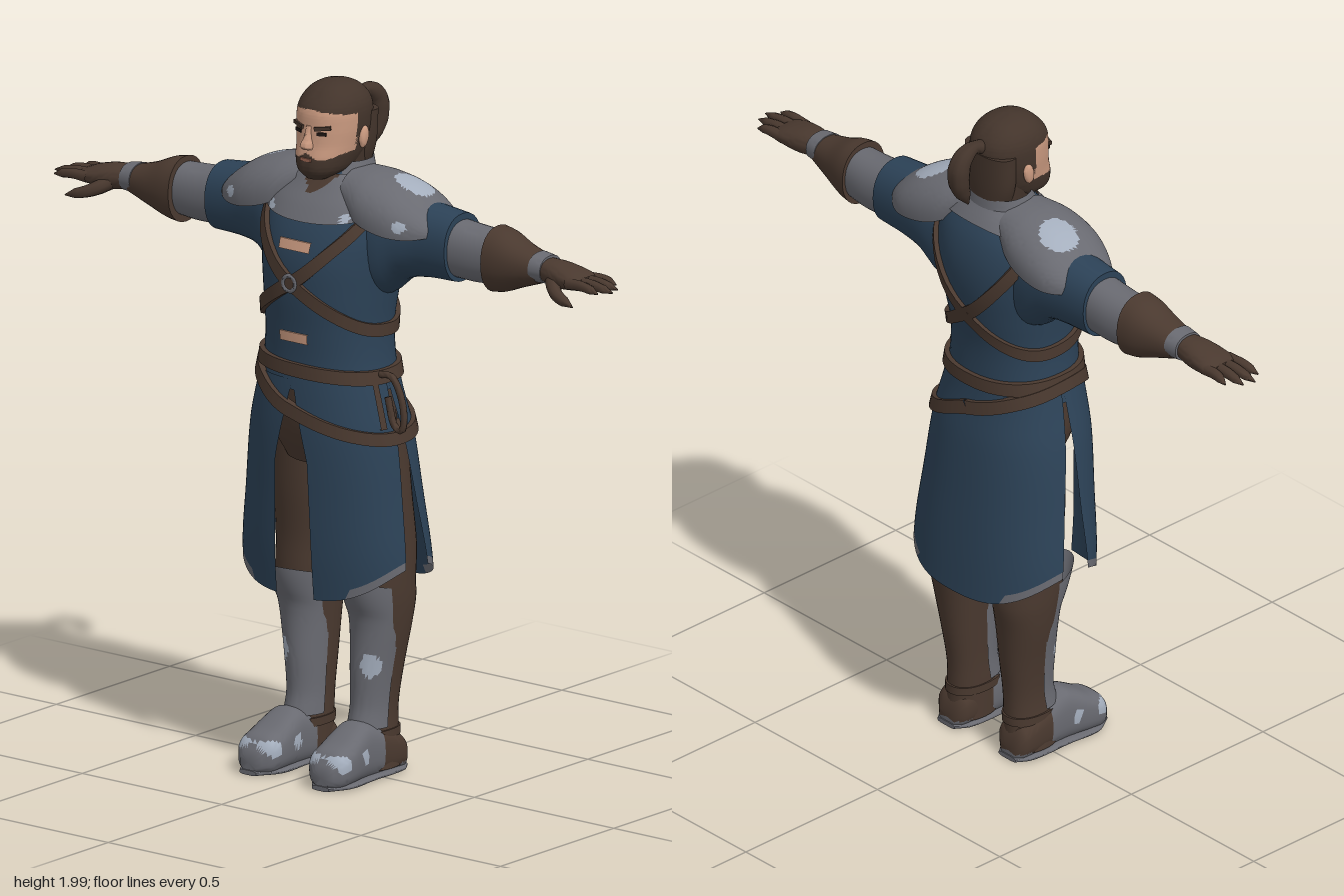
import * as THREE from 'three';
import { toCreasedNormals } from 'three/addons/utils/BufferGeometryUtils.js';

const mat = (name, color) => new THREE.MeshStandardMaterial({ name, color, side: THREE.DoubleSide });
const V = (x, y, z) => new THREE.Vector3(x, y, z);
const RAD = Math.PI / 180;

// Surface from f(u, v); faces outward where du x dv points outward
function grid(nu, nv, f, wrap = false) {
  const pos = [], idx = [], c = wrap ? nu : nu + 1;
  for (let j = 0; j <= nv; j++) for (let i = 0; i < c; i++) pos.push(...f(i / nu, j / nv));
  for (let j = 0; j < nv; j++) for (let i = 0; i < nu; i++) {
    const a = j * c + i, b = j * c + (i + 1) % c;
    idx.push(a, b, b + c, a, b + c, a + c);
  }
  const g = new THREE.BufferGeometry();
  g.setAttribute('position', new THREE.Float32BufferAttribute(pos, 3));
  g.setIndex(idx);
  return g;
}

// Smooth interpolation of table rows keyed by their first number
function at(rows, t) {
  let i = 0;
  while (i < rows.length - 2 && t > rows[i + 1][0]) i++;
  const p = rows[i], q = rows[i + 1], o = rows[i - 1] || p, r = rows[i + 2] || q;
  const h = q[0] - p[0], s = Math.min(1, Math.max(0, (t - p[0]) / h)), s2 = s * s, s3 = s2 * s;
  return p.map((_, k) => {
    const m0 = (q[k] - o[k]) / (q[0] - o[0]) * h, m1 = (r[k] - p[k]) / (r[0] - p[0]) * h;
    return (2 * s3 - 3 * s2 + 1) * p[k] + (s3 - 2 * s2 + s) * m0 + (3 * s2 - 2 * s3) * q[k] + (s3 - s2) * m1;
  });
}
const bend = (v, e) => Math.sign(v) * Math.abs(v) ** e;

// Rounded sections along an axis: rows are [t, aMin, aMax, bMin, bMax]
const AXES = { y: (a, t, b) => [a, t, b], x: (a, t, b) => [t, b, a], z: (a, t, b) => [b, a, t] };
function loft(axis, rows, { nu = 32, nv = rows.length * 4, e = 0.9, arc = null } = {}) {
  const t0 = rows[0][0], t1 = rows[rows.length - 1][0], extra = arc ? 0 : 1, n = nv + 2 * extra;
  return grid(nu, n, (u, v) => {
    const j = Math.round(v * n) - extra, k = j < 0 || j > nv ? 0.001 : 1;
    const t = t0 + (t1 - t0) * Math.min(1, Math.max(0, j / nv));
    const [, a0, a1, b0, b1] = at(rows, t);
    const th = arc ? (arc[0] + (arc[1] - arc[0]) * u) * RAD : u * 2 * Math.PI;
    return AXES[axis]((a0 + a1) / 2 + k * (a1 - a0) / 2 * bend(Math.sin(th), e), t,
      (b0 + b1) / 2 + k * (b1 - b0) / 2 * bend(Math.cos(th), e));
  }, !arc);
}

// Tube whose radius follows a list
function taper(points, radii, seg = 18, rad = 10) {
  const curve = new THREE.CatmullRomCurve3(points.map(p => V(...p)));
  const g = new THREE.TubeGeometry(curve, seg, 1, rad), p = g.attributes.position;
  for (let i = 0; i < p.count; i++) {
    const s = Math.floor(i / (rad + 1)) / seg, c = curve.getPointAt(s), f = s * (radii.length - 1);
    const k = Math.min(radii.length - 2, Math.floor(f)), r = radii[k] + (radii[k + 1] - radii[k]) * (f - k);
    const q = V(0, 0, 0).fromBufferAttribute(p, i).sub(c).multiplyScalar(r).add(c);
    p.setXYZ(i, q.x, q.y, q.z);
  }
  return g;
}

// Sort triangles into material groups by their centre
function paint(g, rule) {
  const bins = [], p = g.attributes.position, ix = g.index.array;
  for (let i = 0; i < ix.length; i += 3) {
    const t = [ix[i], ix[i + 1], ix[i + 2]];
    const m = f => t.reduce((s, k) => s + p[f](k), 0) / 3;
    (bins[rule(m('getX'), m('getY'), m('getZ'))] ??= []).push(...t);
  }
  const all = [];
  g.clearGroups();
  bins.forEach((b, k) => { g.addGroup(all.length, b.length, k); all.push(...b); });
  g.setIndex(all);
}

// Body and coat outline: [y, half width, front z, back z]
const BODY = [[0.52, 0.29, 0.175, -0.215], [0.65, 0.285, 0.185, -0.205], [0.8, 0.265, 0.19, -0.19],
  [1, 0.238, 0.195, -0.168], [1.12, 0.208, 0.188, -0.145], [1.2, 0.19, 0.18, -0.138], [1.3, 0.183, 0.183, -0.14],
  [1.4, 0.19, 0.19, -0.16], [1.5, 0.2, 0.188, -0.178], [1.58, 0.205, 0.165, -0.178], [1.65, 0.19, 0.125, -0.16],
  [1.7, 0.14, 0.085, -0.13], [1.74, 0.085, 0.055, -0.1]];
function skin(deg, y, off = 0) {
  const [, rx, f, b] = at(BODY, y), s = Math.sin(deg * RAD), c = Math.cos(deg * RAD);
  return [(rx + off) * bend(s, 0.9), y, (f + b) / 2 + ((f - b) / 2 + off) * bend(c, 0.9)];
}

// Strap lying on the body through [degrees, y] points
function strap(points, width = 0.036, out = 0.013, n = 70) {
  const curve = new THREE.CatmullRomCurve3(points.map(([d, y]) => V(d * RAD * 0.19, y, 0)));
  const sec = [[1, -0.006], [1, out], [-1, out], [-1, -0.006]];
  return grid(3, n, (u, v) => {
    const p = curve.getPoint(v), t = curve.getTangent(v), [s, o] = sec[Math.round(u * 3)];
    const w = s * width / 2;
    return skin((p.x - t.y * w) / 0.19 / RAD, p.y + t.x * w, o);
  });
}

export function createModel() {
  const root = new THREE.Group();
  root.name = 'armouredRanger';
  const blue = mat('blueCloth', 0x2c4257), brown = mat('brownLeather', 0x4a392f), metal = mat('greyMetal', 0x696a71);
  const pale = mat('paleMetal', 0xa4aebd), flesh = mat('skin', 0xc9997f), hair = mat('hair', 0x43342b);
  const dark = mat('darkEyes', 0x1d1613), lip = mat('lips', 0x9c6653);

  function add(name, g, m, { rule, mirror } = {}) {
    if (rule) paint(g, rule);
    const put = (geo, label) => {
      const mesh = new THREE.Mesh(toCreasedNormals(geo, 0.9), m);
      mesh.name = label;
      root.add(mesh);
    };
    if (mirror) {
      const r = g.clone().scale(-1, 1, 1), a = r.index.array;
      for (let i = 0; i < a.length; i += 3) [a[i], a[i + 1]] = [a[i + 1], a[i]];
      put(r, name + 'Right');
    }
    put(g, mirror ? name + 'Left' : name);
  }
  const both = { mirror: true };

  // Tunic
  add('tunic', grid(48, 36, (u, v) => skin(u * 360, 1.13 + 0.61 * v), true), blue);
  add('sleeve', loft('x', [[0.1, -0.12, 0.08, 1.36, 1.71], [0.19, -0.13, 0.085, 1.4, 1.7], [0.25, -0.13, 0.07, 1.45, 1.69],
    [0.32, -0.125, 0.055, 1.467, 1.68], [0.43, -0.118, 0.048, 1.472, 1.668]]), blue, both);
  add('hips', loft('y', [[0.9, -0.14, 0.14, -0.11, 0.11], [1, -0.19, 0.19, -0.13, 0.15], [1.16, -0.185, 0.185, -0.13, 0.17]]), brown);

  // Coat skirt, open at the front and at both sides
  const hem = d => 0.53 + 0.1 * Math.abs(Math.sin(d * RAD)) ** 3;
  const panel = (a, b, n) => grid(n, 24, (u, v) => {
    const w = 1 - v, d = a(w) + (b(w) - a(w)) * u, h = hem(d);
    return skin(d, h + (1.16 - h) * v, 0.003);
  });
  const trim = (x, y) => (Math.abs(x) > 0.17 && y < 0.548 + 0.1 * Math.min(1, Math.abs(x) / 0.285) ** 3 ? 1 : 0);
  add('coatFront', panel(w => Math.min(11, w * 30), w => 90 - 12 * w ** 1.5, 20), [blue, metal], { rule: trim, mirror: true });
  add('coatBack', panel(w => 92 + 10 * w, w => 268 - 10 * w, 40), [blue, metal], { rule: trim });

  // Mantle, collar and shoulder plates
  add('mantle', grid(72, 14, (u, v) => {
    const low = 1.65 - 0.04 * Math.cos(u * 2 * Math.PI);
    return skin(u * 360, low + (1.735 - low) * v, 0.009);
  }, true), [metal, brown, pale], {
    rule: (x, y, z) => (z > 0 && y > 1.675 + Math.abs(x) * 0.9 ? 1 : z > 0 && Math.hypot(Math.abs(x) - 0.13, y - 1.63) < 0.014 ? 2 : 0) });
  add('collar', loft('y', [[1.69, -0.115, 0.115, -0.12, 0.075], [1.73, -0.1, 0.1, -0.115, 0.06], [1.765, -0.09, 0.09, -0.112, 0.045]],
    { arc: [35, 325] }), metal);
  add('shoulderPlate', loft('x', [[0.08, -0.12, 0.08, 1.61, 1.75], [0.16, -0.148, 0.11, 1.535, 1.747], [0.25, -0.155, 0.11, 1.51, 1.725],
    [0.32, -0.14, 0.085, 1.53, 1.685], [0.37, -0.095, 0.045, 1.575, 1.64], [0.385, -0.04, 0, 1.6, 1.615]],
  { arc: [-98, 98], nu: 40, nv: 36 }), [metal, pale], {
    rule: (x, y, z) => (Math.hypot(x - 0.25, z + 0.045) < 0.055 || Math.hypot(x - 0.3, (y - 1.63) * 1.5, z - 0.09) < 0.022 ? 1 : 0), mirror: true });

  // Straps and belts
  add('crossStrap', strap([[-62, 1.645], [-35, 1.555], [0, 1.44], [40, 1.355], [75, 1.31], [115, 1.3], [150, 1.335], [185, 1.42], [235, 1.62]]), brown, both);
  add('waistBelt', strap([[-180, 1.185], [-90, 1.2], [0, 1.19], [90, 1.172], [180, 1.185]], 0.038, 0.014), brown);
  add('slantedBelt', strap([[-180, 1.1], [-130, 1.16], [-80, 1.185], [-40, 1.15], [0, 1.075], [45, 1.02], [90, 1], [140, 1.03], [180, 1.1]], 0.036, 0.016), brown);
  const buckle = new THREE.TorusGeometry(0.022, 0.007, 8, 20);
  add('strapRing', buckle.translate(0, 1.44, 0.2), metal);
  add('beltLoop', taper([[0.2, 1.18, 0.05], [0.245, 1.18, 0.05], [0.285, 1.1, 0.05], [0.28, 1.03, 0.05], [0.255, 1.04, 0.05], [0.23, 1.12, 0.05]],
    [0.01, 0.01, 0.01], 30, 8), brown);
  add('hangingStrap', strap([[72, 1.1], [78, 1.1]], 0.14, 0.012, 4), brown);
  for (const y of [1.545, 1.28]) add('chestSlot', strap([[-13, y], [0, y + 0.001], [13, y]], 0.028, 0.005, 12), flesh);

  // Arms
  add('upperArmPlate', loft('x', [[0.42, -0.108, 0.036, 1.485, 1.65], [0.5, -0.108, 0.034, 1.483, 1.643], [0.58, -0.1, 0.03, 1.49, 1.64]]), metal, both);
  add('bracer', loft('x', [[0.56, -0.112, 0.048, 1.468, 1.658], [0.6, -0.106, 0.046, 1.475, 1.65], [0.66, -0.09, 0.038, 1.498, 1.625],
    [0.73, -0.072, 0.026, 1.523, 1.605]]), brown, both);
  add('wristCuff', loft('x', [[0.715, -0.076, 0.03, 1.525, 1.612], [0.755, -0.07, 0.026, 1.528, 1.607]]), metal, both);
  add('palm', loft('x', [[0.74, -0.06, 0.02, 1.535, 1.6], [0.8, -0.07, 0.035, 1.525, 1.598], [0.86, -0.074, 0.042, 1.53, 1.585],
    [0.895, -0.07, 0.04, 1.535, 1.572]]), brown, both);
  [[0.03, 0.04, 0.975], [0.001, 0.005, 1], [-0.028, -0.03, 0.99], [-0.056, -0.066, 0.955]].forEach(([z0, z1, tip]) =>
    add('finger', taper([[0.86, 1.556, z0], [0.92, 1.558, (z0 + z1) / 2], [tip, 1.548, z1]], [0.018, 0.016, 0.015, 0.013, 0.002], 12, 8), brown, both));
  add('thumb', taper([[0.79, 1.55, 0.015], [0.84, 1.525, 0.055], [0.91, 1.505, 0.072]], [0.02, 0.021, 0.018, 0.015, 0.002], 12, 8), brown, both);

  // Legs
  const LEG = [[0.02, 0.062, 0.182, -0.112, 0.05], [0.13, 0.06, 0.17, -0.11, 0.045], [0.2, 0.06, 0.168, -0.112, 0.03], [0.3, 0.055, 0.18, -0.125, 0.032],
    [0.42, 0.048, 0.202, -0.14, 0.035], [0.5, 0.043, 0.212, -0.153, 0.05], [0.55, 0.04, 0.214, -0.15, 0.055], [0.65, 0.034, 0.215, -0.155, 0.055],
    [0.8, 0.02, 0.212, -0.14, 0.07], [1, 0.008, 0.2, -0.13, 0.08]];
  add('leg', loft('y', LEG), brown, both);
  add('greave', grid(24, 30, (u, v) => {
    const d = (u * 2 - 1) * 88 * RAD, y = 0.14 + (0.4 + 0.04 * Math.cos(d)) * v, [, a, b, c, f] = at(LEG, y);
    const flare = 0.04 * Math.max(0, v - 0.75) * 4;
    return [(a + b) / 2 + ((b - a) / 2 + 0.006 - 0.012 * v) * Math.sin(d), y,
      (c + f) / 2 + 0.012 + ((f - c) / 2 + 0.004 + flare) * Math.cos(d)];
  }), [metal, pale], { rule: (x, y, z) => (z > 0 && Math.hypot((x - 0.152) * 1.6, y - 0.325) < 0.036 ? 1 : 0), mirror: true });
  add('ankleBand', loft('y', [[0.105, 0.057, 0.175, -0.116, 0.06], [0.13, 0.056, 0.175, -0.116, 0.06]], { nv: 2 }), brown, both);

  // Boots
  add('boot', loft('z', [[-0.12, 0.005, 0.05, 0.095, 0.155], [-0.1, 0, 0.1, 0.07, 0.178], [0, 0, 0.145, 0.062, 0.182], [0.06, 0, 0.165, 0.06, 0.184],
    [0.1, 0, 0.15, 0.058, 0.188], [0.15, 0, 0.122, 0.057, 0.193], [0.195, 0, 0.1, 0.066, 0.188], [0.222, 0.012, 0.06, 0.1, 0.16]],
  { e: 0.7, nu: 36, nv: 40 }), [metal, brown, pale], {
    rule: (x, y, z) => (z < 0 && y > 0.025 ? 1 : Math.hypot(y - 0.075, z - 0.185) < 0.024 || Math.hypot(y - 0.08, z - 0.09) < 0.018 ? 2 : 0), mirror: true });
  add('sole', loft('z', [[-0.123, 0, 0.014, 0.09, 0.16], [-0.08, 0, 0.016, 0.063, 0.186], [0.06, 0, 0.016, 0.057, 0.19], [0.16, 0, 0.016, 0.055, 0.196],
    [0.225, 0, 0.014, 0.1, 0.16]], { e: 0.6 }), metal, both);

  // Head with hair and beard
  add('neck', loft('y', [[1.66, -0.062, 0.062, -0.095, 0.05], [1.74, -0.068, 0.068, -0.1, 0.05], [1.8, -0.075, 0.075, -0.1, 0.06]]), hair);
  add('head', loft('y', [[1.722, -0.03, 0.03, 0.05, 0.108], [1.745, -0.064, 0.064, -0.03, 0.127], [1.78, -0.08, 0.08, -0.075, 0.129],
    [1.82, -0.088, 0.088, -0.1, 0.12], [1.87, -0.094, 0.094, -0.112, 0.116], [1.92, -0.093, 0.093, -0.112, 0.11], [1.955, -0.078, 0.078, -0.092, 0.084],
    [1.98, -0.048, 0.048, -0.058, 0.05], [1.99, -0.012, 0.012, -0.015, 0.012]], { nu: 64, nv: 64 }), [hair, flesh], {
    rule: (x, y, z) => (z > 0.015 && y < 1.922 - 1.5 * x * x && y > 1.802 - 0.018 * Math.sin(Math.min(1, Math.abs(x) / 0.085) * Math.PI) ? 1 : 0) });
  add('nose', loft('y', [[1.812, -0.016, 0.016, 0.1, 0.136], [1.822, -0.018, 0.018, 0.1, 0.146], [1.845, -0.011, 0.011, 0.1, 0.133],
    [1.878, -0.009, 0.009, 0.1, 0.12]], { nu: 16 }), flesh);
  const box = (w, h, d, x, y, z, ry = 0, rz = 0) => new THREE.BoxGeometry(w, h, d).rotateZ(rz).rotateY(ry).translate(x, y, z);
  add('brow', box(0.048, 0.011, 0.009, 0.042, 1.874, 0.107, 0.4, 0.12), hair, both);
  add('eye', box(0.028, 0.01, 0.008, 0.04, 1.858, 0.108, 0.4), dark, both);
  add('mouth', box(0.036, 0.009, 0.008, 0, 1.782, 0.128), lip);
  add('ear', new THREE.SphereGeometry(1, 14, 10).scale(0.01, 0.032, 0.018).rotateX(-0.2).translate(0.094, 1.835, -0.012), flesh, both);
  add('backHair', loft('y', [[1.73, -0.06, 0.06, -0.11, -0.02], [1.8, -0.083, 0.083, -0.115, -0.02], [1.9, -0.09, 0.09, -0.117, -0.02]]), hair);
  add('ponytail', taper([[0, 1.915, -0.09], [0, 1.928, -0.14], [0, 1.9, -0.182], [0, 1.84, -0.19], [0, 1.755, -0.155]],
    [0.022, 0.018, 0.028, 0.032, 0.03, 0.022, 0.003], 28, 14), hair);
  return root;
}
